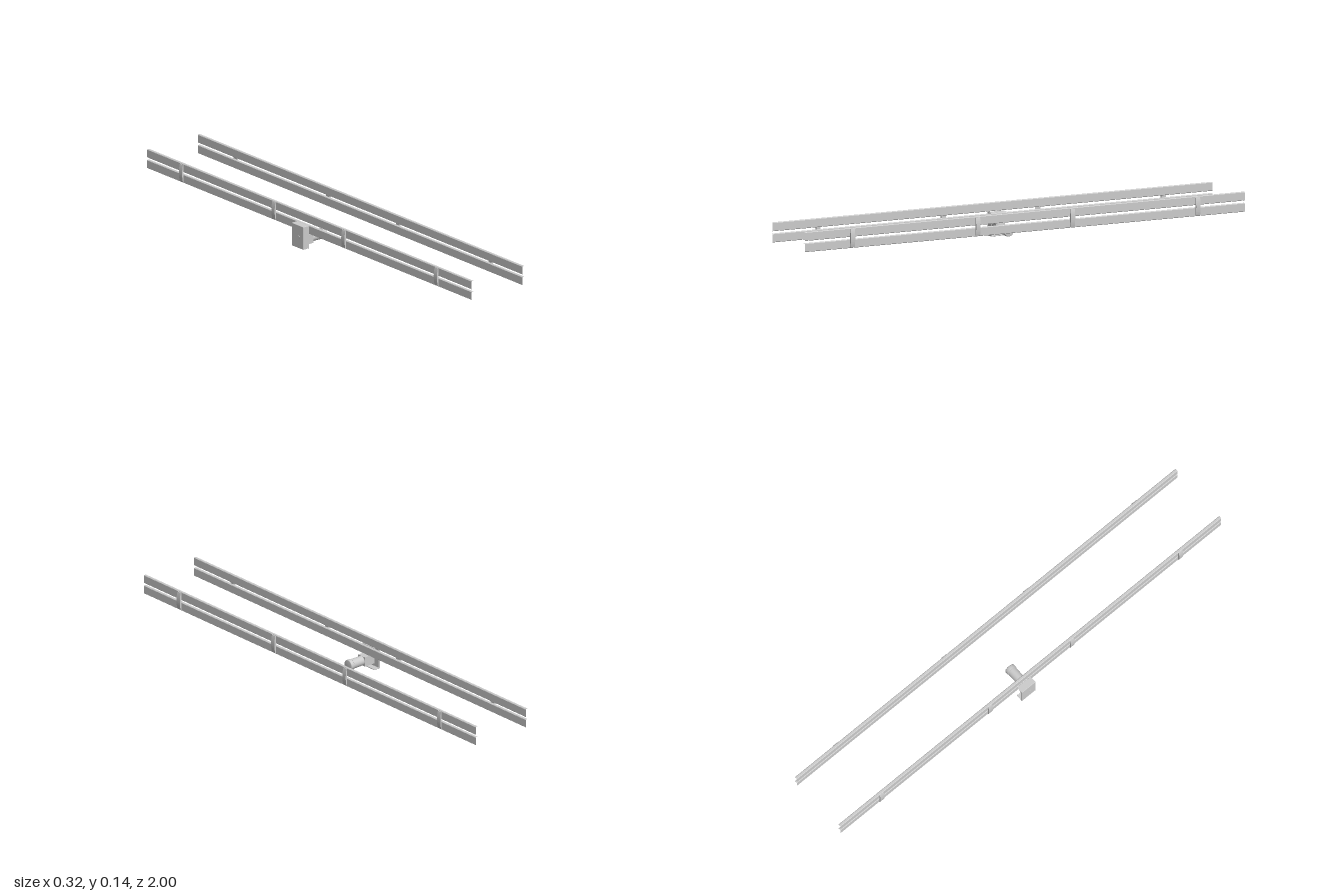
import * as THREE from 'three';
import { RoundedBoxGeometry } from 'three/addons/geometries/RoundedBoxGeometry.js';

const material = new THREE.MeshStandardMaterial({ color: 0xcccccc });

function add(parent, name, geometry, x = 0, y = 0, z = 0) {
  const mesh = new THREE.Mesh(geometry, material);
  mesh.name = name;
  mesh.position.set(x, y, z);
  parent.add(mesh);
  return mesh;
}

// Long hollow plank with chamfered edges and open ends
function plankGeometry(w, h, length, c) {
  const a = w / 2, b = h / 2;
  const shape = new THREE.Shape([
    [-a + c, -b], [a - c, -b], [a, -b + c], [a, b - c],
    [a - c, b], [-a + c, b], [-a, b - c], [-a, -b + c],
  ].map(([x, y]) => new THREE.Vector2(x, y)));
  const solid = new THREE.ExtrudeGeometry(shape, { depth: length, bevelEnabled: false });
  const walls = solid.groups[1];
  const geometry = new THREE.BufferGeometry();
  geometry.setAttribute('position', new THREE.BufferAttribute(
    solid.attributes.position.array.slice(walls.start * 3, (walls.start + walls.count) * 3), 3));
  geometry.computeVertexNormals();
  return geometry.translate(0, 0, -length / 2);
}

// Bowed clip: flat against the rail, bulging along side (+1 or -1)
function clipGeometry(side) {
  const shape = new THREE.Shape();
  shape.moveTo(0, -0.037);
  shape.lineTo(side * 0.003, -0.037);
  shape.bezierCurveTo(side * 0.0095, -0.014, side * 0.0095, 0.014, side * 0.003, 0.037);
  shape.lineTo(0, 0.037);
  return new THREE.ExtrudeGeometry(shape, { depth: 0.02, bevelEnabled: false, curveSegments: 10 })
    .translate(0, 0, -0.01);
}

// Rail of two planks with four clips; face is the x of its outer surface
function rail(name, face, side) {
  const group = new THREE.Group();
  group.name = name;
  const plank = plankGeometry(0.012, 0.035, 2, 0.002);
  add(group, 'upperPlank', plank, face - side * 0.006, 0.1225);
  add(group, 'lowerPlank', plank, face - side * 0.006, 0.0775);
  const clip = clipGeometry(side);
  for (const z of [-0.785, -0.215, 0.215, 0.785]) add(group, 'clip', clip, face, 0.1, z);
  return group;
}

// Cylinder lying along x
const rod = (r0, r1, length) =>
  new THREE.CylinderGeometry(r1, r0, length, 32).rotateZ(-Math.PI / 2);

function motor() {
  const group = new THREE.Group();
  group.name = 'motorUnit';

  // Housing shell, open towards the rail
  add(group, 'housingPlate', new RoundedBoxGeometry(0.007, 0.096, 0.072, 2, 0.003), -0.1545, 0.048, -0.037);
  add(group, 'housingTop', new RoundedBoxGeometry(0.031, 0.004, 0.072, 2, 0.0015), -0.1425, 0.094, -0.037);
  add(group, 'housingBottom', new RoundedBoxGeometry(0.031, 0.004, 0.072, 2, 0.0015), -0.1425, 0.002, -0.037);
  add(group, 'housingSide', new RoundedBoxGeometry(0.031, 0.096, 0.004, 2, 0.0015), -0.1425, 0.048, -0.003);
  add(group, 'screw', rod(0.006, 0.006, 0.003), -0.158, 0.047, -0.03);

  // Square neck, round barrel and end cap
  add(group, 'neck', new THREE.BoxGeometry(0.052, 0.04, 0.04), -0.126, 0.035, -0.027);
  add(group, 'barrel', rod(0.0195, 0.0205, 0.058), -0.073, 0.035, -0.027);
  const cap = new THREE.LatheGeometry([
    [0, 0], [0.021, 0], [0.0225, 0.002], [0.0225, 0.015], [0.02, 0.018], [0, 0.018],
  ].map(([r, y]) => new THREE.Vector2(r, y)), 32).rotateZ(-Math.PI / 2);
  add(group, 'endCap', cap, -0.045, 0.035, -0.027);
  return group;
}

export function createModel() {
  const model = new THREE.Group();
  model.name = 'twinRails';
  model.add(rail('leftRail', 0.15, 1), rail('rightRail', -0.127, -1), motor());
  return model;
}
